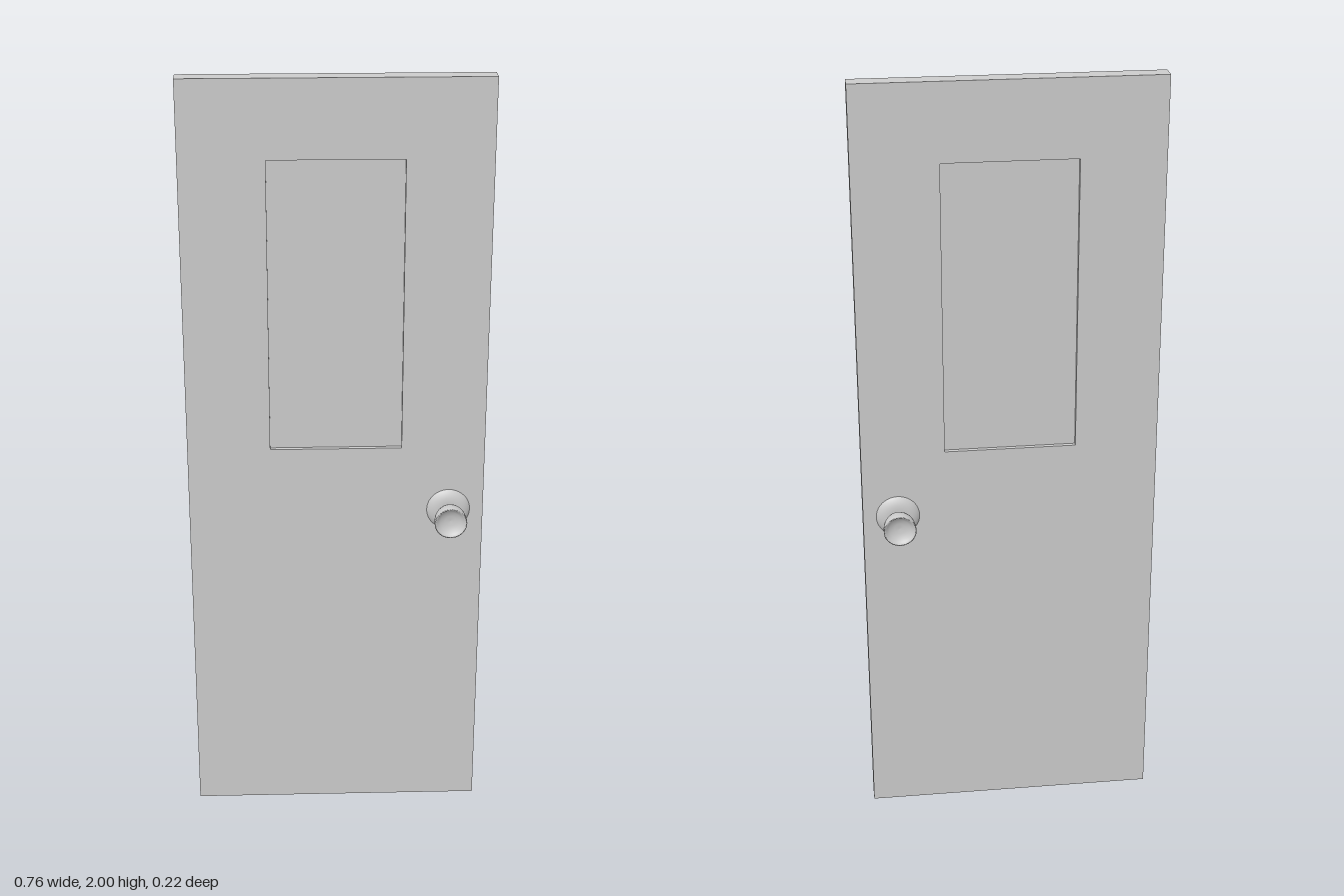
import * as THREE from 'three';

const WIDTH = 0.757, HEIGHT = 2, THICK = 0.047;

function rect(target, x0, y0, x1, y1) {
  target.moveTo(x0, y0);
  target.lineTo(x1, y0);
  target.lineTo(x1, y1);
  target.lineTo(x0, y1);
  target.closePath();
  return target;
}

// Lathe around z, from [radius, distance from door centre] pairs
function turned(profile, material, name) {
  const points = profile.map(([r, d]) => new THREE.Vector2(r, d));
  const geometry = new THREE.LatheGeometry(points, 40);
  geometry.rotateX(Math.PI / 2);
  const mesh = new THREE.Mesh(geometry, material);
  mesh.name = name;
  return mesh;
}

export function createModel() {
  const model = new THREE.Group();
  model.name = 'door';
  const grey = new THREE.MeshStandardMaterial({ color: 0xcccccc, side: THREE.DoubleSide });
  grey.name = 'light grey';

  // Door leaf with a rectangular opening
  const outline = rect(new THREE.Shape(), -WIDTH / 2, 0, WIDTH / 2, HEIGHT);
  outline.holes.push(rect(new THREE.Path(), -0.168, 1.055, 0.166, 1.805));
  const leafGeometry = new THREE.ExtrudeGeometry(outline, { depth: THICK, bevelEnabled: false });
  leafGeometry.translate(0, 0, -THICK / 2);
  const leaf = new THREE.Mesh(leafGeometry, grey);
  leaf.name = 'doorLeaf';
  model.add(leaf);

  // Recessed window panel
  const panel = new THREE.Mesh(new THREE.BoxGeometry(0.334, 0.75, 0.024), grey);
  panel.name = 'windowPanel';
  panel.position.set(-0.001, 1.43, 0);
  model.add(panel);

  // Round plate and dished knob on each face
  const plateProfile = [
    [0.056, 0.023], [0.053, 0.027], [0.046, 0.032], [0.036, 0.036], [0.024, 0.0375], [0, 0.0375],
  ];
  const knobProfile = [
    [0.014, 0.034], [0.012, 0.039], [0.016, 0.046], [0.024, 0.053], [0.031, 0.061], [0.036, 0.07],
    [0.0395, 0.081], [0.041, 0.093], [0.0415, 0.108], [0.038, 0.11], [0.034, 0.104],
    [0.026, 0.098], [0.014, 0.094], [0, 0.093],
  ];
  for (const side of [1, -1]) {
    const handle = new THREE.Group();
    handle.name = side > 0 ? 'frontKnob' : 'backKnob';
    handle.add(turned(plateProfile, grey, 'knobPlate'), turned(knobProfile, grey, 'knob'));
    handle.position.set(0.289, 0.88, 0);
    if (side < 0) handle.rotation.y = Math.PI;
    model.add(handle);
  }

  // The door hangs very slightly ajar
  model.rotation.y = -0.006;
  model.position.z = -0.0035;
  return model;
}
